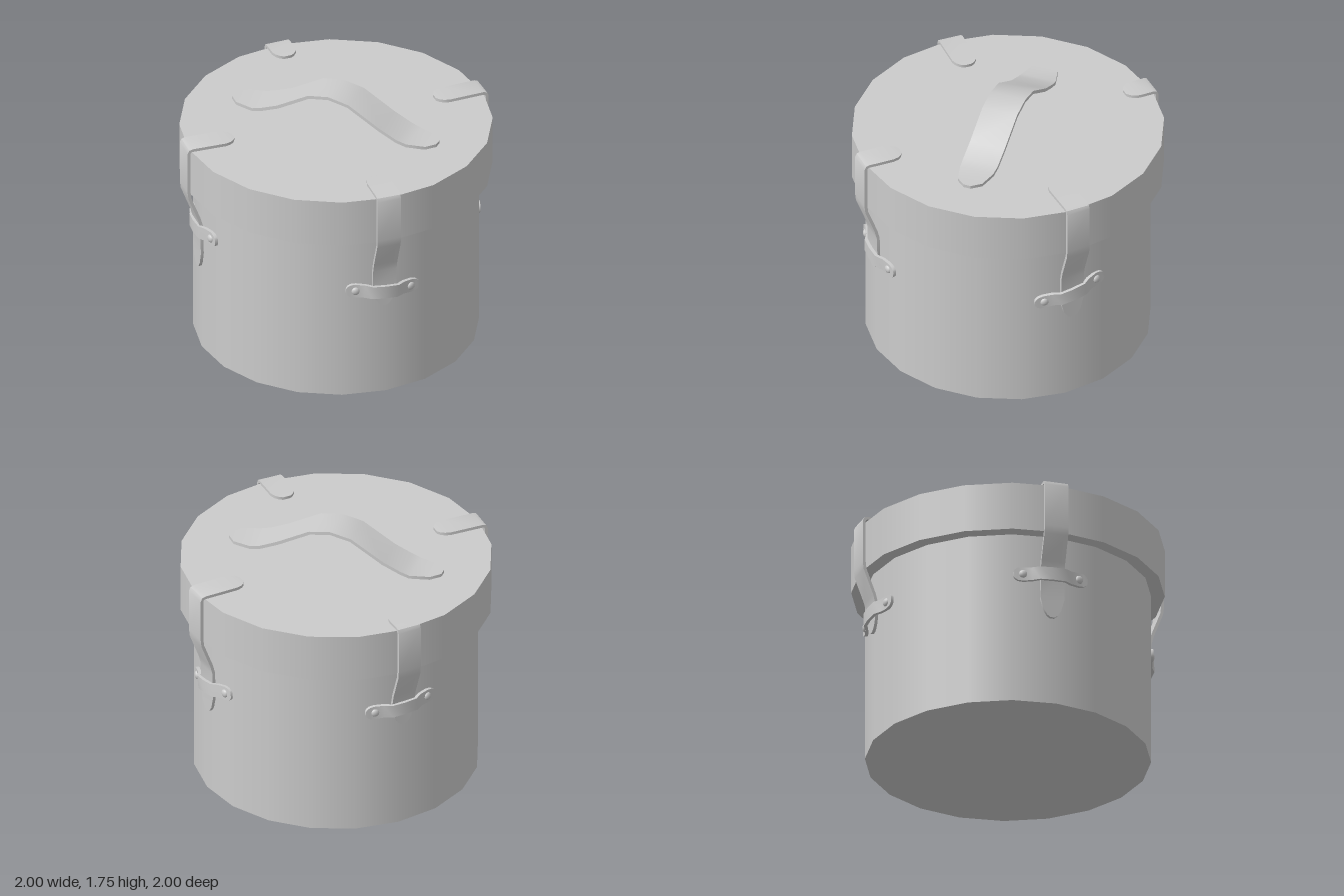
import * as THREE from 'three';
import { toCreasedNormals } from 'three/addons/utils/BufferGeometryUtils.js';

const material = new THREE.MeshStandardMaterial({ color: 0xcccccc });

function part(name, geometry) {
  const mesh = new THREE.Mesh(geometry, material);
  mesh.name = name;
  return mesh;
}

// Leather strip: follows stations [x, y, halfWidth] in the XY plane, width along Z
function strip(stations, thickness) {
  const pos = [], index = [], n = stations.length;
  stations.forEach(([x, y, w], i) => {
    const p = stations[Math.max(i - 1, 0)], q = stations[Math.min(i + 1, n - 1)];
    const l = Math.hypot(q[0] - p[0], q[1] - p[1]);
    const nx = -(q[1] - p[1]) / l * thickness / 2, ny = (q[0] - p[0]) / l * thickness / 2;
    pos.push(x + nx, y + ny, w, x + nx, y + ny, -w, x - nx, y - ny, -w, x - nx, y - ny, w);
  });
  for (let i = 0; i < n - 1; i++) {
    for (let k = 0; k < 4; k++) {
      const a = i * 4 + k, b = i * 4 + (k + 1) % 4;
      index.push(a, a + 4, b, b, a + 4, b + 4);
    }
  }
  const e = (n - 1) * 4;
  index.push(0, 1, 2, 0, 2, 3, e, e + 2, e + 1, e, e + 3, e + 2);
  const g = new THREE.BufferGeometry();
  g.setAttribute('position', new THREE.Float32BufferAttribute(pos, 3));
  g.setIndex(index);
  return toCreasedNormals(g, 0.7);
}

// Twenty-sided drum with flats facing the axes
function drum(name, apothem, y0, y1) {
  const r = apothem / Math.cos(Math.PI / 20);
  const mesh = part(name, new THREE.CylinderGeometry(r, r, y1 - y0, 20, 1, false, Math.PI / 20));
  mesh.position.y = (y0 + y1) / 2;
  return mesh;
}

// Closing strap with its riveted keeper; built along +x, then turned to its azimuth
function latch({ azimuth, inner, bandY, tilt, tipY }) {
  const group = new THREE.Group();
  group.name = 'latch';
  const w = 0.08;
  group.add(part('strap', strip([
    [inner, 1.52, 0.025], [inner + 0.015, 1.521, 0.05], [inner + 0.04, 1.522, 0.07], [inner + 0.075, 1.522, w],
    [1.0, 1.522, w], [1.018, 1.517, w], [1.026, 1.5, w],
    [1.026, 1.21, w], [1.02, 1.16, w], [0.955, 0.99, w], [0.94, 0.93, w],
    [0.936, tipY + 0.13, w], [0.936, tipY + 0.05, 0.058], [0.936, tipY + 0.015, 0.035], [0.936, tipY, 0.015],
  ], 0.02)));

  const keeper = new THREE.Group();
  keeper.name = 'keeper';
  keeper.position.y = bandY;
  keeper.rotation.x = -tilt;
  const half = [[0.25, 0.896, 0.015], [0.242, 0.898, 0.03], [0.222, 0.901, 0.043], [0.19, 0.907, 0.047],
    [0.13, 0.926, 0.045], [0.085, 0.956, 0.044]];
  const path = [...half.map(([t, r, h]) => [-t, r, h]), [0, 0.962, 0.044], ...half.slice().reverse()];
  const band = part('keeperBand', strip(path, 0.022));
  band.geometry.applyMatrix4(new THREE.Matrix4().makeBasis(
    new THREE.Vector3(0, 0, 1), new THREE.Vector3(1, 0, 0), new THREE.Vector3(0, 1, 0)));
  keeper.add(band);
  for (const side of [-1, 1]) {
    const rivet = part('rivet', new THREE.SphereGeometry(0.028, 12, 8));
    rivet.scale.x = 0.6;
    rivet.position.set(0.917, 0, side * 0.19);
    rivet.rotation.y = -side * 0.22;
    keeper.add(rivet);
  }
  group.add(keeper);
  group.rotation.y = -THREE.MathUtils.degToRad(azimuth);
  return group;
}

export function createModel() {
  const model = new THREE.Group();
  model.name = 'liddedBox';
  model.add(drum('body', 0.913, 0, 1.2));
  model.add(drum('lid', 1, 1.18, 1.507));

  // Arched carrying handle with rounded ends resting on the lid
  model.add(part('handle', strip([
    [-0.728, 1.517, 0.025], [-0.67, 1.517, 0.085], [-0.54, 1.52, 0.118], [-0.48, 1.538, 0.12],
    [-0.36, 1.587, 0.12], [-0.14, 1.717, 0.12], [0, 1.742, 0.12], [0.14, 1.717, 0.12],
    [0.36, 1.595, 0.12], [0.48, 1.54, 0.12], [0.55, 1.522, 0.115], [0.67, 1.517, 0.085], [0.722, 1.517, 0.025],
  ], 0.022)));

  // Four latches, each fastened a little differently
  [
    { azimuth: 46, inner: 0.755, bandY: 0.77, tilt: 0.09, tipY: 0.66 },
    { azimuth: 137, inner: 0.7, bandY: 0.9, tilt: -0.03, tipY: 0.6 },
    { azimuth: 223.5, inner: 0.83, bandY: 0.88, tilt: -0.05, tipY: 0.75 },
    { azimuth: -47.5, inner: 0.69, bandY: 0.8, tilt: -0.17, tipY: 0.61 },
  ].forEach((spec) => model.add(latch(spec)));
  return model;
}
